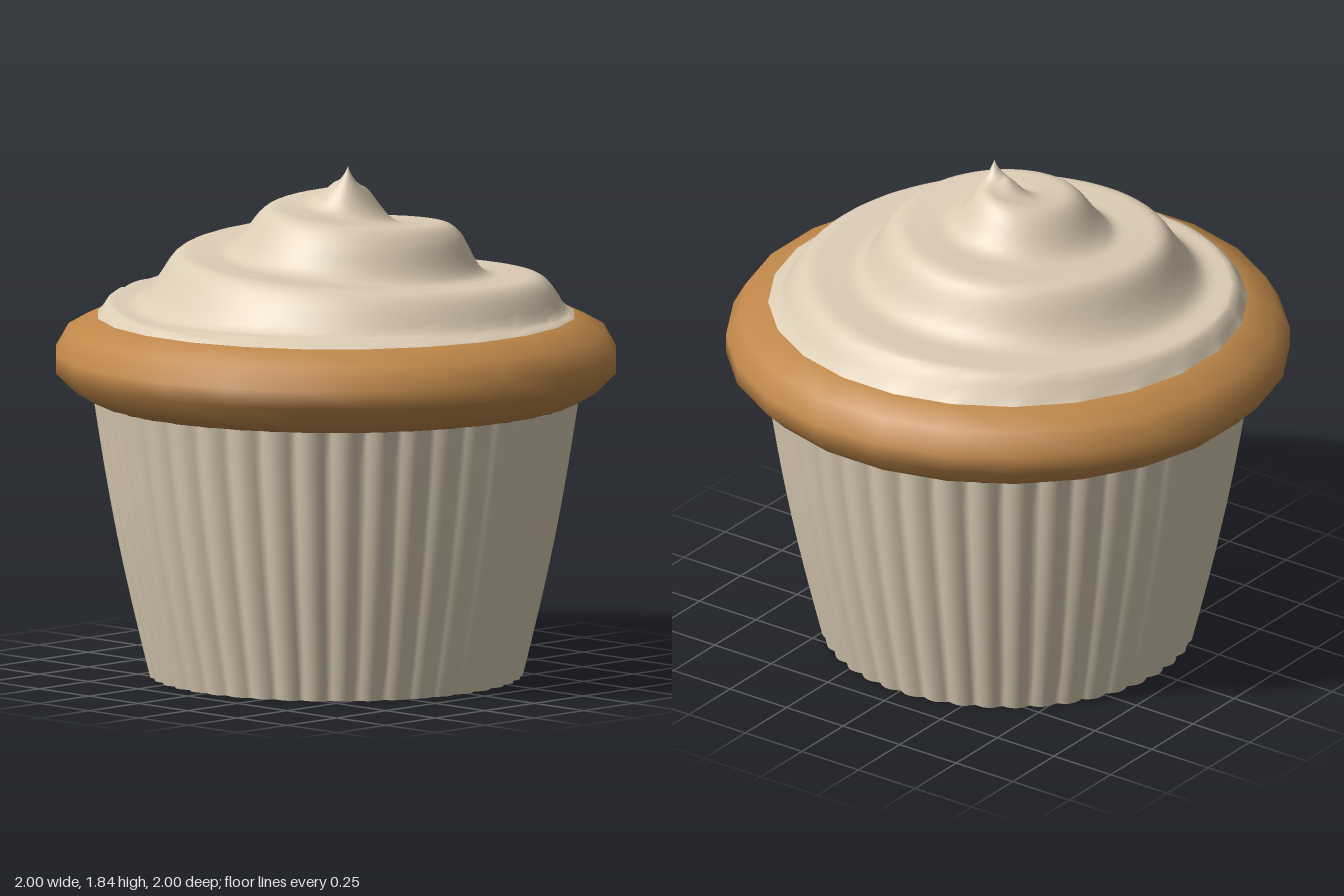
import * as THREE from 'three';
import { mergeVertices } from 'three/addons/utils/BufferGeometryUtils.js';

const TAU = Math.PI * 2;
const SIDES = 24; // sides of the baked rim
const smooth = THREE.MathUtils.smoothstep;

// Move every vertex by a rule, then weld seams for smooth normals
function reshape(geometry, rule) {
  geometry.deleteAttribute('uv');
  geometry.deleteAttribute('normal');
  const pos = geometry.attributes.position;
  const v = new THREE.Vector3();
  for (let i = 0; i < pos.count; i++) {
    rule(v.fromBufferAttribute(pos, i));
    pos.setXYZ(i, v.x, v.y, v.z);
  }
  const welded = mergeVertices(geometry, 1e-5);
  welded.computeVertexNormals();
  return welded;
}

// Pleated paper wall radius: round bumps with narrow valleys
function pleatRadius(angle, y) {
  const pleat = Math.abs(Math.cos(angle * 21)) - 1;
  return 0.668 + 0.2 * y + 0.015 * Math.sin(Math.PI * y) + pleat * (0.018 + 0.006 * y);
}

// Average frosting slope, before the swirl is pressed in
const SLOPE = [[0, 1.77], [0.12, 1.715], [0.23, 1.665], [0.42, 1.575], [0.58, 1.465],
  [0.7, 1.405], [0.8, 1.35], [0.86, 1.31]];
function slopeHeight(r) {
  for (let i = 1; i < SLOPE.length; i++) {
    const [r0, y0] = SLOPE[i - 1], [r1, y1] = SLOPE[i];
    if (r <= r1) return y0 + (y1 - y0) * Math.max(0, r - r0) / (r1 - r0);
  }
  return 1.31;
}

const TIP_X = 0.06;
function frostingHeight(x, z) {
  const r = Math.hypot(x, z);
  const turn = (r - 0.43) / 0.33 + Math.atan2(z, x) / TAU;
  const warp = 0.076 * Math.sin(TAU * turn) + 0.013 * Math.sin(2 * TAU * turn);
  let y = slopeHeight(Math.max(0, r + warp * smooth(r, 0, 0.13)));
  // thin foot around the edge
  y = Math.max(y, 1.30 + 0.03 * (1 - smooth(r, 0.78, 0.85)));
  y = Math.min(y, 1.30 + Math.max(0, 0.85 - r) * 1.6);
  // pulled tip
  return y + 0.085 * Math.exp(-Math.hypot(x - TIP_X, z) / 0.032);
}

export function createModel() {
  const cream = new THREE.MeshStandardMaterial({ color: 0xdccdb5 });
  cream.name = 'cream';
  const golden = new THREE.MeshStandardMaterial({ color: 0xc0884a });
  golden.name = 'goldenBrown';

  const model = new THREE.Group();
  model.name = 'cupcake';
  const add = (name, geometry, material) => {
    const mesh = new THREE.Mesh(geometry, material);
    mesh.name = name;
    model.add(mesh);
  };

  // Pleated paper wrapper
  add('wrapper', reshape(new THREE.CylinderGeometry(1, 1, 1, 336, 8, true), (v) => {
    const a = Math.atan2(v.z, v.x);
    const y = v.y + 0.5;
    const r = pleatRadius(a, y);
    v.set(r * Math.cos(a), y, r * Math.sin(a));
  }), cream);

  // Flat scalloped base
  add('wrapperBase', reshape(new THREE.CircleGeometry(1, 336), (v) => {
    const a = Math.atan2(-v.y, v.x);
    const r = v.length() * pleatRadius(a, 0);
    v.set(r * Math.cos(a), 0, -r * Math.sin(a));
  }).scale(1, 1, -1), cream);
  // turn the disc to face down
  const base = model.children[1].geometry;
  base.computeVertexNormals();
  if (base.attributes.normal.getY(0) > 0) {
    base.index.array.reverse();
    base.computeVertexNormals();
  }

  // Baked rim bulging over the wrapper
  const grow = 1 / Math.cos(Math.PI / SIDES);
  const profile = [[0.76, 1.0], [0.86, 1.0], [0.925, 1.03], [1, 1.105], [1, 1.17],
    [0.955, 1.25], [0.85, 1.3], [0.78, 1.3]];
  add('cakeRim', new THREE.LatheGeometry(
    profile.map(([r, y]) => new THREE.Vector2(r * grow, y)), SIDES, Math.PI / SIDES), golden);

  // Swirled frosting: a polar grid gathered at the tip
  add('frosting', reshape(new THREE.PlaneGeometry(1, 1, 144, 60), (v) => {
    const a = (v.x + 0.5) * TAU;
    const t = Math.pow(v.y + 0.5, 1.3);
    const step = TAU / SIDES;
    const edge = 0.85 / Math.cos(a - Math.round(a / step) * step);
    const x = TIP_X * (1 - t) + edge * t * Math.cos(a);
    const z = edge * t * Math.sin(a);
    v.set(x, frostingHeight(x, z), z);
  }), cream);

  return model;
}
